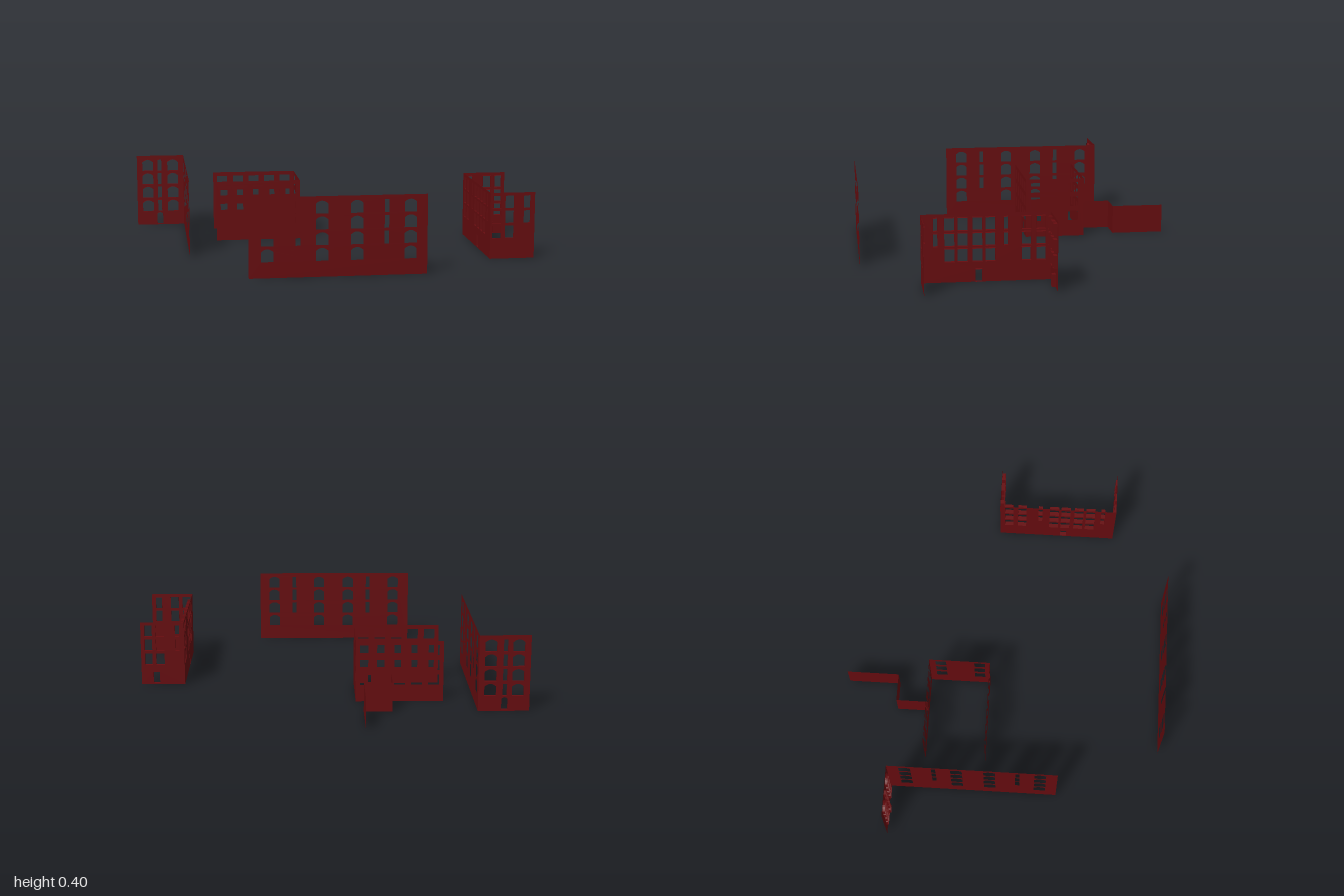
import * as THREE from 'three';

const material = new THREE.MeshStandardMaterial({ color: 0x660c0f, side: THREE.DoubleSide });

// Outline of one opening: u is its centre along the wall, rise the height of its arch
function openingPath({ u, y, w, h, rise = 0 }) {
  const p = new THREE.Path();
  p.moveTo(u - w / 2, y);
  p.lineTo(u + w / 2, y);
  p.lineTo(u + w / 2, y + h - rise);
  if (rise) p.quadraticCurveTo(u, y + h + rise, u - w / 2, y + h - rise);
  else p.lineTo(u - w / 2, y + h);
  p.lineTo(u - w / 2, y);
  return p;
}

// Band running back from the edge of an opening
function revealGeometry(path, depth) {
  const pts = path.getPoints(6);
  const pos = [];
  for (let i = 0; i < pts.length - 1; i++) {
    const a = pts[i], b = pts[i + 1];
    pos.push(a.x, a.y, 0, b.x, b.y, 0, b.x, b.y, depth);
    pos.push(a.x, a.y, 0, b.x, b.y, depth, a.x, a.y, depth);
  }
  const g = new THREE.BufferGeometry();
  g.setAttribute('position', new THREE.Float32BufferAttribute(pos, 3));
  g.computeVertexNormals();
  return g;
}

// Thin upright wall from [x, z] to [x, z]
function wall(name, from, to, height, openings = [], depth = 0) {
  const dx = to[0] - from[0], dz = to[1] - from[1];
  const len = Math.hypot(dx, dz);
  const shape = new THREE.Shape();
  shape.moveTo(0, 0);
  shape.lineTo(len, 0);
  shape.lineTo(len, height);
  shape.lineTo(0, height);
  shape.closePath();
  const group = new THREE.Group();
  group.name = name;
  const paths = openings.map(openingPath);
  shape.holes.push(...paths);
  const sheet = new THREE.Mesh(new THREE.ShapeGeometry(shape, 6), material);
  sheet.name = name + 'Sheet';
  group.add(sheet);
  if (depth) {
    for (const p of paths) {
      const reveal = new THREE.Mesh(revealGeometry(p, depth), material);
      reveal.name = 'windowReveal';
      group.add(reveal);
    }
  }
  group.position.set(from[0], 0, from[1]);
  group.rotation.y = Math.atan2(-dz, dx);
  return group;
}

// Columns of windows: every [u, width, rows] fills rows from the top down
function windows(columns, topSill, pitch, h, rise = 0) {
  return columns.flatMap(([u, w, rows]) =>
    Array.from({ length: rows }, (_, i) => ({ u, w, h, y: topSill - i * pitch, rise: w > 0.04 ? rise : 0 })));
}

export function createModel() {
  const model = new THREE.Group();
  model.name = 'buildingFacades';

  // Two matching long facades with arched windows
  const longWindows = windows(
    [[0.09, 0.06, 4], [0.238, 0.022, 3], [0.355, 0.06, 4], [0.525, 0.06, 4], [0.67, 0.022, 3], [0.787, 0.06, 4]],
    0.31, 0.077, 0.063, 0.014);
  model.add(wall('frontFacade', [-0.48, 0.84], [0.39, 0.84], 0.395, longWindows));
  model.add(wall('rightFacade', [-0.74, -0.57], [-0.74, 0.305], 0.395, longWindows));

  // Tall narrow end facade with its door
  model.add(wall('tallEndFacade', [-1, -0.57], [-0.74, -0.57], 0.395, [
    ...windows([[0.06, 0.06, 4], [0.126, 0.022, 4], [0.2, 0.06, 4]], 0.31, 0.077, 0.063, 0.014),
    { u: 0.126, y: 0.008, w: 0.032, h: 0.064, rise: 0.008 },
  ], 0.012));

  // Three-sided left block
  const blockWindows = cols => windows(cols, 0.26, 0.077, 0.064);
  model.add(wall('leftBlockSide', [0.77, -0.08], [0.77, 0.555], 0.34, [
    ...blockWindows([[0.05, 0.046, 3], [0.122, 0.046, 3], [0.222, 0.022, 2], [0.298, 0.05, 3],
      [0.361, 0.05, 3], [0.433, 0.05, 3], [0.497, 0.05, 3], [0.565, 0.022, 2]]),
    { u: 0.355, y: 0.005, w: 0.034, h: 0.062 },
  ], -0.022));
  model.add(wall('leftBlockFront', [0.77, 0.555], [1, 0.555], 0.34,
    blockWindows([[0.033, 0.046, 3], [0.1, 0.045, 3], [0.19, 0.034, 2]]), -0.008));
  model.add(wall('leftBlockBack', [0.77, -0.08], [1, -0.08], 0.34, [
    ...blockWindows([[0.037, 0.022, 2], [0.128, 0.045, 3], [0.19, 0.04, 3]]),
    { u: 0.15, y: 0.005, w: 0.034, h: 0.062 },
  ], 0.018));

  // Central block, open on one side
  const centreWindows = cols => windows(cols.map(u => [u, 0.056, 3]), 0.246, 0.079, 0.053);
  const centreColumns = [0.05, 0.138, 0.225, 0.313, 0.4];
  model.add(wall('centreBlockFront', [-0.58, -0.08], [-0.13, -0.08], 0.32, [
    ...centreWindows(centreColumns),
    { u: 0.357, y: 0.004, w: 0.03, h: 0.062 },
  ]));
  model.add(wall('centreBlockBack', [-0.58, -0.4], [-0.13, -0.4], 0.32, centreWindows(centreColumns)));
  model.add(wall('centreBlockSide', [-0.13, -0.4], [-0.13, -0.08], 0.32, centreWindows([0.06, 0.265])));

  // Low stepped yard wall
  const yard = [[-0.31, -0.4], [-0.31, -0.57], [-0.165, -0.57], [-0.165, -0.845]];
  for (let i = 0; i < 3; i++) model.add(wall('yardWall', yard[i], yard[i + 1], 0.152));

  return model;
}
